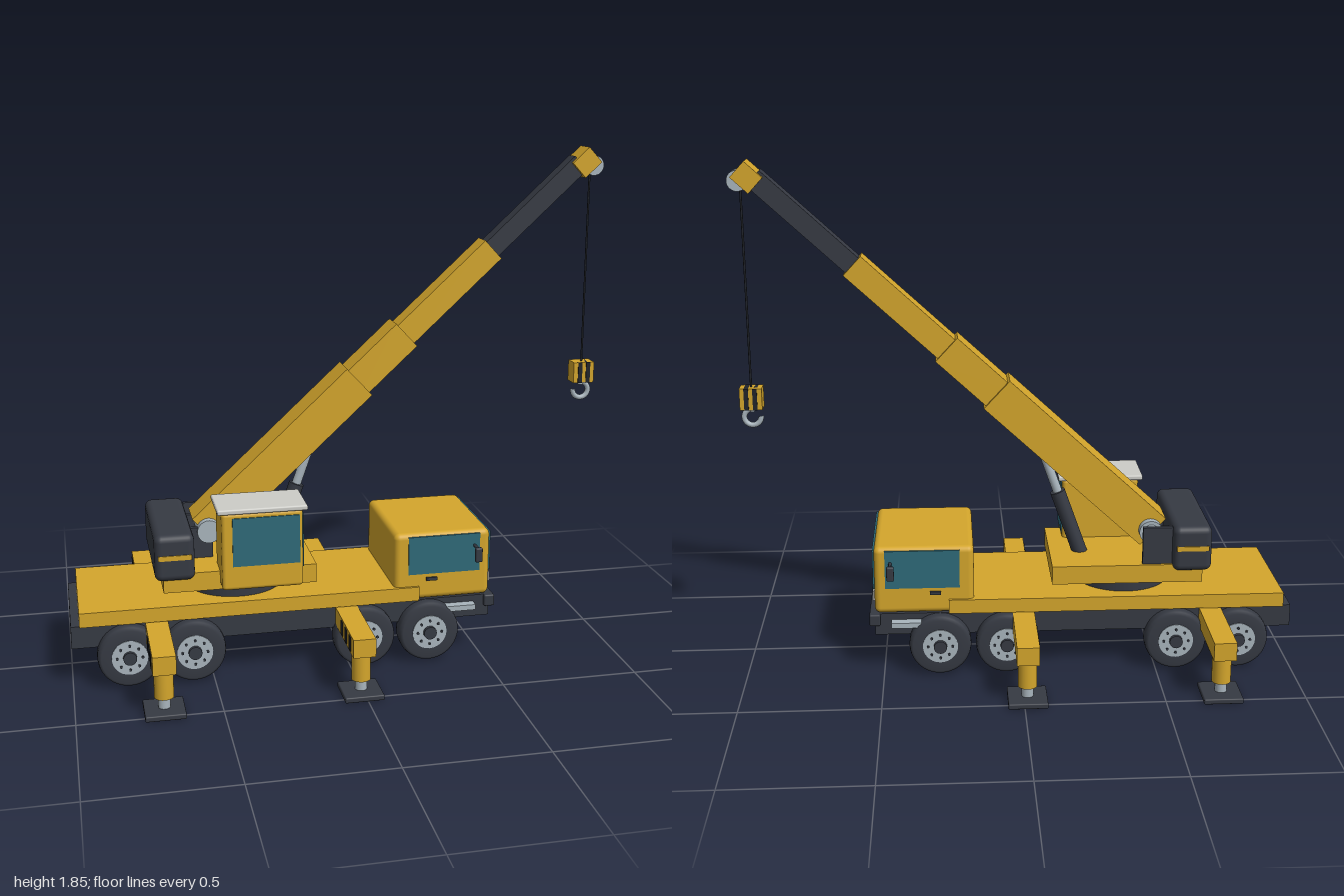
import * as THREE from 'three';
import { RoundedBoxGeometry } from 'three/addons/geometries/RoundedBoxGeometry.js';

const mat = (name, color) => {
  const m = new THREE.MeshStandardMaterial({ color });
  m.name = name;
  return m;
};

export function createModel() {
  const yellow = mat('crane yellow', 0xd4a62c);
  const dark = mat('charcoal', 0x363a43);
  const black = mat('black', 0x202329);
  const glass = mat('teal glass', 0x2f6a79);
  const steel = mat('steel', 0xa9b5bd);
  const pale = mat('pale grey', 0xcdcdc8);

  const model = new THREE.Group();
  model.name = 'mobileCrane';
  const group = (name) => {
    const g = new THREE.Group();
    g.name = name;
    model.add(g);
    return g;
  };
  const add = (parent, name, geo, material, x = 0, y = 0, z = 0) => {
    const m = new THREE.Mesh(geo, material);
    m.name = name;
    m.position.set(x, y, z);
    parent.add(m);
    return m;
  };
  // Box given by its limits on each axis; r rounds the edges
  const box = (parent, name, material, [x0, x1], [y0, y1], [z0, z1], r = 0) => {
    const s = [x1 - x0, y1 - y0, z1 - z0];
    const geo = r ? new RoundedBoxGeometry(...s, 3, r) : new THREE.BoxGeometry(...s);
    return add(parent, name, geo, material, (x0 + x1) / 2, (y0 + y1) / 2, (z0 + z1) / 2);
  };
  // Cylinder between two points
  const rod = (parent, name, material, a, b, r, sides = 24) => {
    const p = new THREE.Vector3(...a), q = new THREE.Vector3(...b);
    const d = q.clone().sub(p);
    const m = add(parent, name, new THREE.CylinderGeometry(r, r, d.length(), sides), material);
    m.position.copy(p).add(q).multiplyScalar(0.5);
    m.quaternion.setFromUnitVectors(new THREE.Vector3(0, 1, 0), d.normalize());
    return m;
  };
  // Limits of a span mirrored to side s
  const span = (s, a, b) => (s > 0 ? [a, b] : [-b, -a]);

  // Carrier
  const carrier = group('carrier');
  box(carrier, 'chassis', dark, [-1, 0.53], [0.15, 0.232], [-0.215, 0.215]);
  box(carrier, 'deck', yellow, [-0.97, 0.26], [0.232, 0.285], [-0.228, 0.228]);
  box(carrier, 'frontBumper', dark, [0.51, 0.55], [0.188, 0.232], [-0.228, 0.228], 0.006);

  // Driver cab
  const cab = group('driverCab');
  box(cab, 'cabShell', yellow, [0.168, 0.53], [0.232, 0.488], [-0.218, 0.218], 0.022);
  box(cab, 'windshield', glass, [0.528, 0.535], [0.325, 0.475], [-0.203, 0.203]);
  box(cab, 'grille', dark, [0.528, 0.536], [0.256, 0.318], [-0.1, 0.1]);
  for (const s of [1, -1]) {
    box(cab, 'headlight', pale, [0.528, 0.536], [0.278, 0.313], span(s, 0.125, 0.198));
    box(cab, 'sideWindow', glass, [0.22, 0.49], [0.332, 0.476], span(s, 0.215, 0.222));
    box(cab, 'doorHandle', dark, [0.288, 0.328], [0.306, 0.318], span(s, 0.215, 0.226));
    box(cab, 'step', steel, [0.36, 0.47], [0.188, 0.208], span(s, 0.2, 0.25));
    rod(cab, 'mirrorArm', dark, [0.47, 0.43, s * 0.21], [0.47, 0.43, s * 0.28], 0.006, 8);
    box(cab, 'mirror', dark, [0.455, 0.482], [0.385, 0.44], span(s, 0.268, 0.285), 0.006);
  }

  // Wheels and axles
  const tireProfile = [[0.06, -0.036], [0.1, -0.037], [0.11, -0.029], [0.113, -0.015],
    [0.113, 0.015], [0.11, 0.029], [0.1, 0.037], [0.06, 0.036]].map((p) => new THREE.Vector2(...p));
  const tireGeo = new THREE.LatheGeometry(tireProfile, 40);
  const running = group('runningGear');
  for (const x of [-0.8, -0.57, 0.05, 0.293]) {
    rod(running, 'axle', dark, [x, 0.118, -0.2], [x, 0.118, 0.2], 0.025, 16);
    for (const s of [1, -1]) {
      const wheel = new THREE.Group();
      wheel.name = 'wheel';
      wheel.position.set(x, 0.118, s * 0.221);
      wheel.rotation.x = s * Math.PI / 2;
      running.add(wheel);
      add(wheel, 'tire', tireGeo, dark);
      add(wheel, 'rim', new THREE.CylinderGeometry(0.064, 0.064, 0.076, 28), steel, 0, 0.001, 0);
      add(wheel, 'hub', new THREE.CylinderGeometry(0.024, 0.026, 0.05, 16), dark, 0, 0.026, 0);
      for (let i = 0; i < 8; i++) {
        const a = i * Math.PI / 4;
        add(wheel, 'wheelNut', new THREE.CylinderGeometry(0.005, 0.005, 0.006, 6), dark,
          0.045 * Math.cos(a), 0.041, 0.045 * Math.sin(a));
      }
    }
  }

  // Outriggers
  const outriggers = group('outriggers');
  for (const x of [-0.7, -0.012]) {
    box(outriggers, 'outriggerBeam', yellow, [x - 0.04, x + 0.04], [0.162, 0.229], [-0.522, 0.522]);
    for (const s of [1, -1]) {
      const z = s * 0.462;
      rod(outriggers, 'jackSleeve', yellow, [x, 0.058, z], [x, 0.17, z], 0.034);
      rod(outriggers, 'jackRod', steel, [x, 0.02, z], [x, 0.06, z], 0.021);
      box(outriggers, 'footPad', dark, [x - 0.07, x + 0.07], [0, 0.02], span(s, 0.392, 0.532), 0.005);
      for (const k of [0.32, 0.385, 0.45]) {
        box(outriggers, 'hazardStripe', black, [x - 0.043, x - 0.039], [0.17, 0.222], span(s, k, k + 0.03));
      }
    }
  }

  // Rotating upper structure
  const upper = group('upperStructure');
  rod(upper, 'turntable', dark, [-0.393, 0.28, 0], [-0.393, 0.328, 0], 0.18, 48);
  box(upper, 'slewPlatform', yellow, [-0.67, -0.118], [0.326, 0.395], [-0.2, 0.2]);
  box(upper, 'counterweight', dark, [-0.7, -0.558], [0.375, 0.546], [-0.225, 0.225], 0.025);
  for (const s of [1, -1]) {
    box(upper, 'counterweightStripe', yellow, [-0.688, -0.57], [0.456, 0.474], span(s, 0.222, 0.228));
  }
  const bz = -0.035;
  for (const z of [bz - 0.076, bz + 0.076]) {
    box(upper, 'boomBracket', dark, [-0.56, -0.475], [0.39, 0.51], [z - 0.009, z + 0.009]);
  }
  rod(upper, 'winchDrum', steel, [-0.488, 0.495, -0.13], [-0.488, 0.495, 0.06], 0.043, 28);
  rod(upper, 'winchMotor', steel, [-0.488, 0.495, -0.175], [-0.488, 0.495, -0.12], 0.03, 20);
  box(upper, 'winchPlate', dark, [-0.56, -0.45], [0.39, 0.535], [-0.19, -0.174]);

  // Operator cab
  const opCab = group('operatorCab');
  box(opCab, 'operatorShell', yellow, [-0.468, -0.178], [0.342, 0.628], [0.093, 0.265], 0.014);
  box(opCab, 'operatorRoof', pale, [-0.483, -0.162], [0.626, 0.645], [0.08, 0.275], 0.006);
  box(opCab, 'operatorSideWindow', glass, [-0.43, -0.19], [0.432, 0.61], [0.262, 0.269]);
  box(opCab, 'operatorFrontWindow', glass, [-0.181, -0.174], [0.41, 0.61], [0.107, 0.251]);

  // Telescopic boom: local x runs along the boom
  const boom = group('boom');
  boom.position.set(-0.49, 0.494, bz);
  boom.rotation.z = 0.7475;
  const sections = [
    [-0.012, 0.774, 0.138, 0.132, yellow], [0.7, 1.017, 0.116, 0.108, yellow],
    [0.95, 1.461, 0.092, 0.084, yellow], [1.4, 1.91, 0.07, 0.06, dark],
  ];
  sections.forEach(([a, b, h, w, m], i) =>
    box(boom, 'boomSection' + (i + 1), m, [a, b], [-h / 2, h / 2], [-w / 2, w / 2]));
  box(boom, 'boomHead', yellow, [1.885, 1.968], [-0.048, 0.026], [-0.045, 0.045]);
  rod(model, 'headSheave', steel, [0.964, 1.783, bz - 0.03], [0.964, 1.783, bz + 0.03], 0.036, 28);

  // Lift cylinder
  rod(model, 'liftBarrel', dark, [-0.235, 0.385, bz], [-0.148, 0.63, bz], 0.028);
  rod(model, 'liftRod', steel, [-0.15, 0.625, bz], [-0.095, 0.78, bz], 0.017);

  // Cable, hook block and hook
  const hoist = group('hoist');
  rod(hoist, 'cable', black, [0.957, 1.03, bz], [0.957, 1.78, bz], 0.004, 8);
  box(hoist, 'hookBlock', yellow, [0.917, 0.997], [0.967, 1.046], [bz - 0.03, bz + 0.03]);
  for (const x of [0.942, 0.973]) {
    box(hoist, 'blockStripe', black, [x - 0.008, x + 0.008], [0.967, 1.046], [bz - 0.033, bz + 0.033]);
  }
  rod(hoist, 'hookShank', steel, [0.957, 0.955, bz], [0.957, 0.975, bz], 0.01, 12);
  const hook = add(hoist, 'hook', new THREE.TorusGeometry(0.03, 0.01, 12, 28, Math.PI * 1.55), steel, 0.957, 0.934, bz);
  hook.rotation.z = Math.PI * 0.95;

  return model;
}
